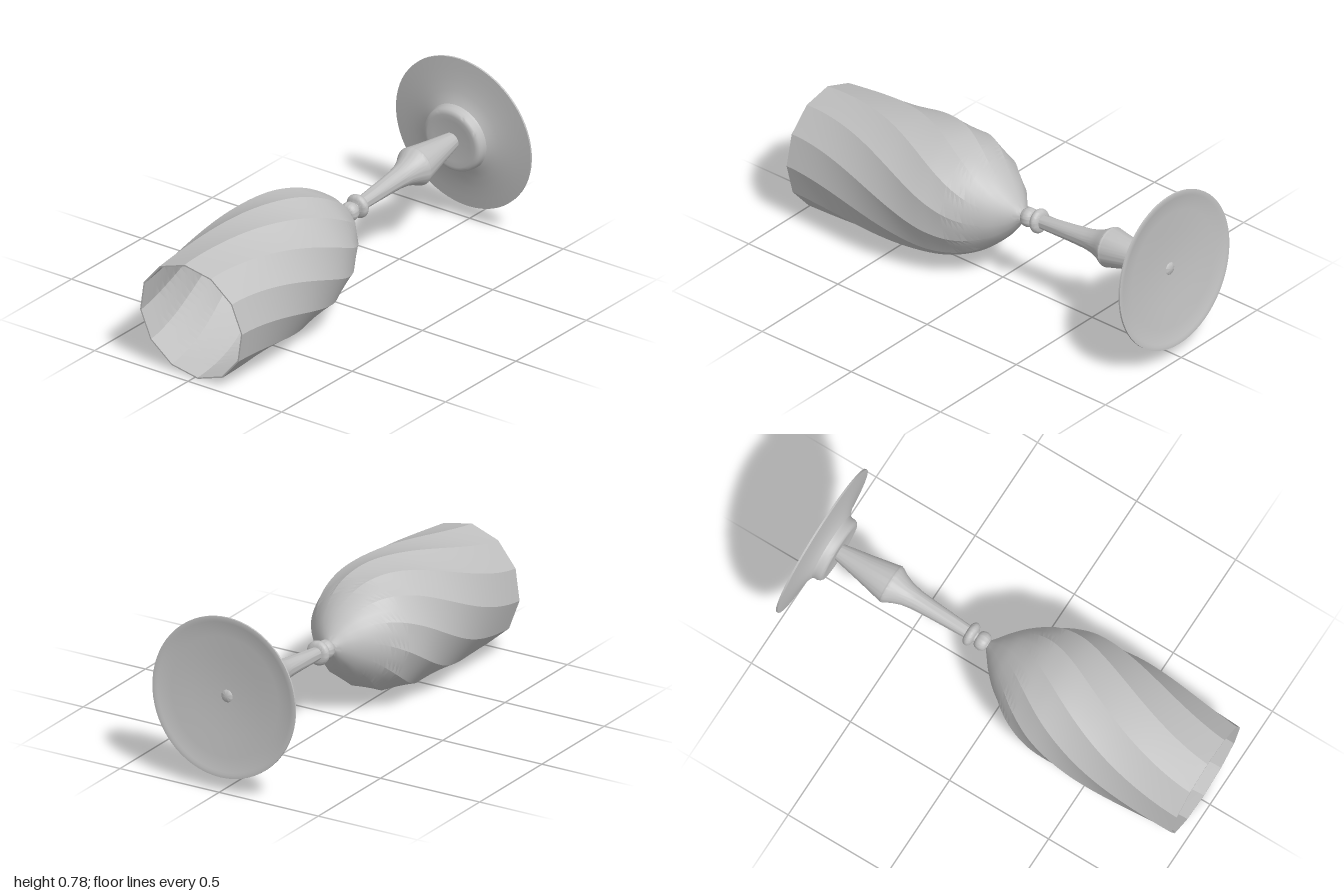
import * as THREE from 'three';
import { toCreasedNormals } from 'three/addons/utils/BufferGeometryUtils.js';

const silver = new THREE.MeshStandardMaterial({ color: 0xc0c0c0, side: THREE.DoubleSide });
silver.name = 'silver';

const FLUTES = 12;
const RIM = -0.981;
const v2 = ([y, r]) => new THREE.Vector2(r, y);

// Turned part from [height, radius] pairs along the axis
function turned(name, profile) {
  const geo = new THREE.LatheGeometry(profile.map(v2), 64);
  const mesh = new THREE.Mesh(toCreasedNormals(geo, 0.6), silver);
  mesh.name = name;
  return mesh;
}

// Round bead profile bulging out from a neck
function bead(y, halfHeight, neck, bulge) {
  const pts = [];
  for (let i = 0; i <= 10; i++) {
    const a = (i / 10) * Math.PI;
    pts.push([y - halfHeight * Math.cos(a), neck + bulge * Math.sin(a)]);
  }
  return pts;
}

// Twelve-sided bowl whose flat flutes twist toward the stem
function flutedBowl() {
  const outer = new THREE.SplineCurve([
    [RIM, 0.275], [-0.8, 0.284], [-0.6, 0.294], [-0.45, 0.297], [-0.3, 0.29], [-0.2, 0.27],
    [-0.1, 0.228], [0, 0.155], [0.06, 0.095], [0.1, 0.045], [0.12, 0.02],
  ].map(v2)).getPoints(50);
  // Wall section: up the inside, over the lip, down the outside
  const inner = outer.map((p) => new THREE.Vector2(p.x * 0.975, p.y)).reverse();
  const section = [...inner, ...outer];
  const cols = 3;
  const pos = [], idx = [];
  for (let k = 0; k < FLUTES; k++) {
    const base = pos.length / 3;
    section.forEach((p, i) => {
      const u = Math.max(0, (p.y - RIM) / 1.1);
      const turn = 0.07 - 1.5 * Math.pow(u, 1.6);
      const a0 = turn + (k / FLUTES) * Math.PI * 2;
      const a1 = turn + ((k + 1) / FLUTES) * Math.PI * 2;
      for (let j = 0; j < cols; j++) {
        const f = j / (cols - 1);
        pos.push(
          p.x * THREE.MathUtils.lerp(Math.cos(a0), Math.cos(a1), f),
          p.y,
          p.x * THREE.MathUtils.lerp(Math.sin(a0), Math.sin(a1), f),
        );
        if (i < section.length - 1 && j < cols - 1) {
          const a = base + i * cols + j, b = a + cols;
          idx.push(a, b, a + 1, b, b + 1, a + 1);
        }
      }
    });
  }
  const geo = new THREE.BufferGeometry();
  geo.setAttribute('position', new THREE.Float32BufferAttribute(pos, 3));
  geo.setIndex(idx);
  const mesh = new THREE.Mesh(toCreasedNormals(geo, 0.48), silver);
  mesh.name = 'bowl';
  return mesh;
}

export function createModel() {
  const goblet = new THREE.Group();
  goblet.name = 'goblet';

  goblet.add(flutedBowl());

  // Two beads under the bowl
  goblet.add(turned('stemBeads', [
    [0.11, 0.02],
    ...bead(0.148, 0.028, 0.024, 0.019),
    [0.182, 0.026],
    ...bead(0.205, 0.021, 0.03, 0.025),
    [0.235, 0.03],
  ]));

  // Stem swelling to a ridge, then tapering to the foot
  goblet.add(turned('stem', [
    [0.225, 0.03], [0.3, 0.034], [0.4, 0.039], [0.48, 0.045], [0.53, 0.054],
    [0.57, 0.069], [0.6, 0.086], [0.611, 0.09], [0.618, 0.088], [0.74, 0.063], [0.88, 0.037],
  ]));

  // Raised collar and flared foot with a shallow hollow underneath
  goblet.add(turned('foot', [
    [0.872, 0], [0.872, 0.1], [0.869, 0.125], [0.871, 0.138], [0.878, 0.147], [0.89, 0.152],
    [0.903, 0.152], [0.914, 0.156], [0.924, 0.174], [0.936, 0.21], [0.946, 0.26],
    [0.953, 0.31], [0.958, 0.36], [0.966, 0.36], [0.967, 0.345], [0.963, 0.335],
    [0.957, 0.27], [0.948, 0.18], [0.941, 0.08], [0.94, 0.028], [0.945, 0.022], [0.948, 0],
  ]));

  // Lay the goblet on its side, resting on the bowl
  goblet.rotation.z = -Math.PI / 2 + 0.078;
  goblet.position.y = 0.353;

  const model = new THREE.Group();
  model.name = 'lyingGoblet';
  model.add(goblet);
  return model;
}
